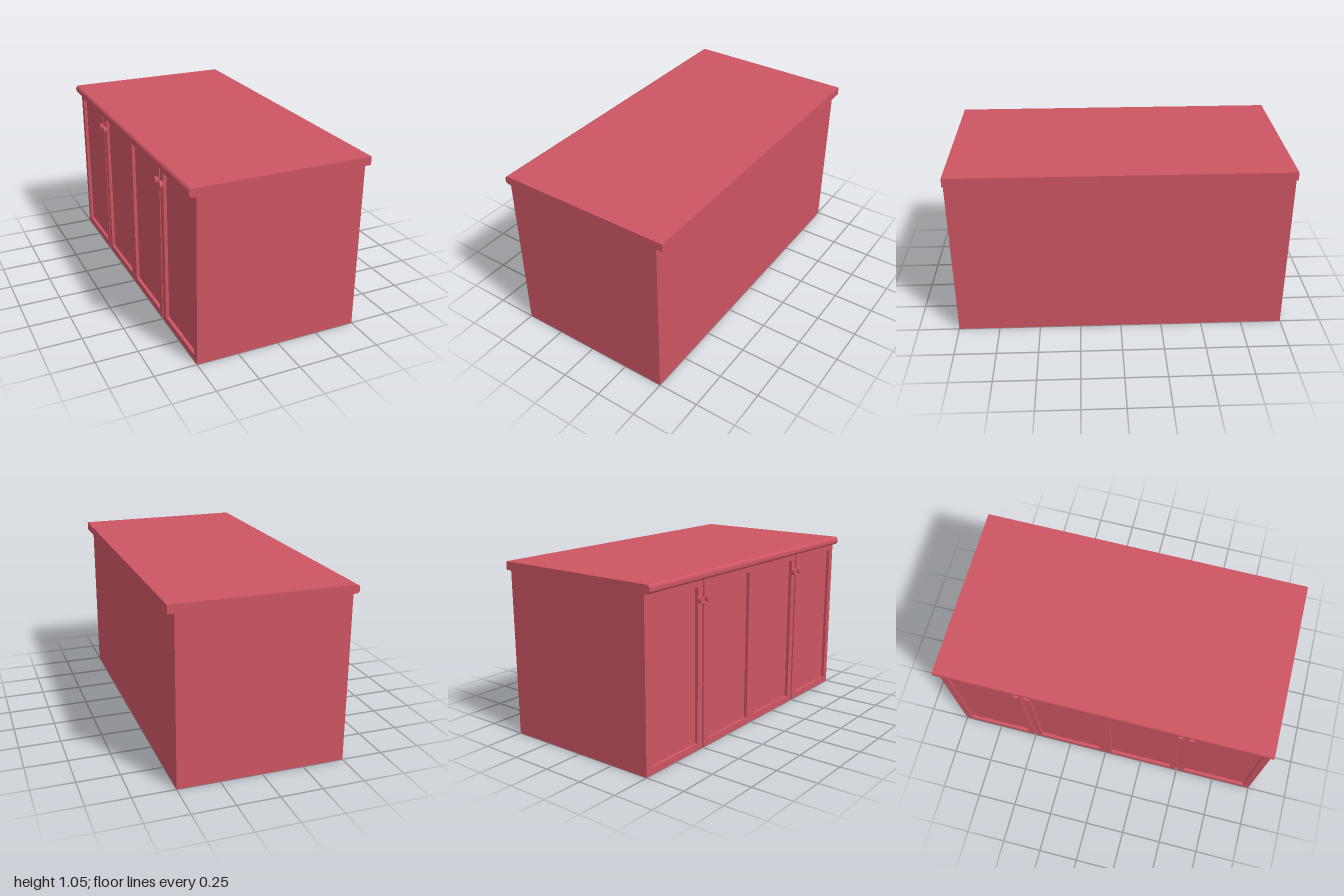
import * as THREE from 'three';

const material = new THREE.MeshStandardMaterial({ color: 0xcc5561, flatShading: true });

function addMesh(parent, name, geometry, x = 0, y = 0, z = 0) {
  const mesh = new THREE.Mesh(geometry, material);
  mesh.name = name;
  mesh.position.set(x, y, z);
  parent.add(mesh);
  return mesh;
}

// Traces a rectangle, used for door outlines and panel openings
function rectangle(path, x0, y0, x1, y1) {
  path.moveTo(x0, y0);
  path.lineTo(x1, y0);
  path.lineTo(x1, y1);
  path.lineTo(x0, y1);
  path.closePath();
  return path;
}

// Flat frame on the -x side; shape x runs along z
function frontFrame(z0, z1, openings, depth) {
  const shape = rectangle(new THREE.Shape(), z0, 0, z1, 1);
  for (const [a, b] of openings) shape.holes.push(rectangle(new THREE.Path(), a, 0.04, b, 0.96));
  const geometry = new THREE.ExtrudeGeometry(shape, { depth, bevelEnabled: false });
  geometry.rotateY(-Math.PI / 2);
  return geometry;
}

export function createModel() {
  const group = new THREE.Group();
  group.name = 'cabinet';
  const depth = 0.02, gap = 0.007, stile = 0.042;

  // Cabinet body behind the door frames
  addMesh(group, 'body', new THREE.BoxGeometry(1 - depth, 1, 2), depth / 2, 0.5, 0);

  // Outer doors and the joined middle pair, split by grooves at z = -0.5 and 0.5
  const inner = 0.5 - gap, outer = 0.5 + gap;
  const frames = [
    ['backDoorFrame', -1, -outer, [[-1 + stile, -outer - stile]]],
    ['middleDoorFrame', -inner, inner, [[-inner + stile, -stile], [stile, inner - stile]]],
    ['frontDoorFrame', outer, 1, [[outer + stile, 1 - stile]]],
  ];
  for (const [name, z0, z1, openings] of frames) {
    addMesh(group, name, frontFrame(z0, z1, openings, depth), -0.5 + depth);
  }

  // A pair of knobs beside each groove
  for (const groove of [-0.5, 0.5]) {
    for (const side of [-1, 1]) {
      const knob = new THREE.CylinderGeometry(0.022, 0.022, 0.02, 12);
      knob.rotateZ(Math.PI / 2);
      addMesh(group, 'knob', knob, -0.51, 0.887, groove + side * 0.033);
    }
  }

  // Worktop with a rounded nose over the doors and a square rear edge
  const r = 0.02, x = 0.538, y0 = 1, y1 = 1.05;
  const profile = new THREE.Shape();
  profile.moveTo(x, y0);
  profile.lineTo(x, y1);
  profile.lineTo(-x + r, y1);
  profile.absarc(-x + r, y1 - r, r, Math.PI / 2, Math.PI, false);
  profile.lineTo(-x, y0 + r);
  profile.absarc(-x + r, y0 + r, r, Math.PI, Math.PI * 1.5, false);
  profile.closePath();
  const top = new THREE.ExtrudeGeometry(profile, { depth: 2, bevelEnabled: false, curveSegments: 5 });
  addMesh(group, 'worktop', top, 0, 0, -1);

  return group;
}
